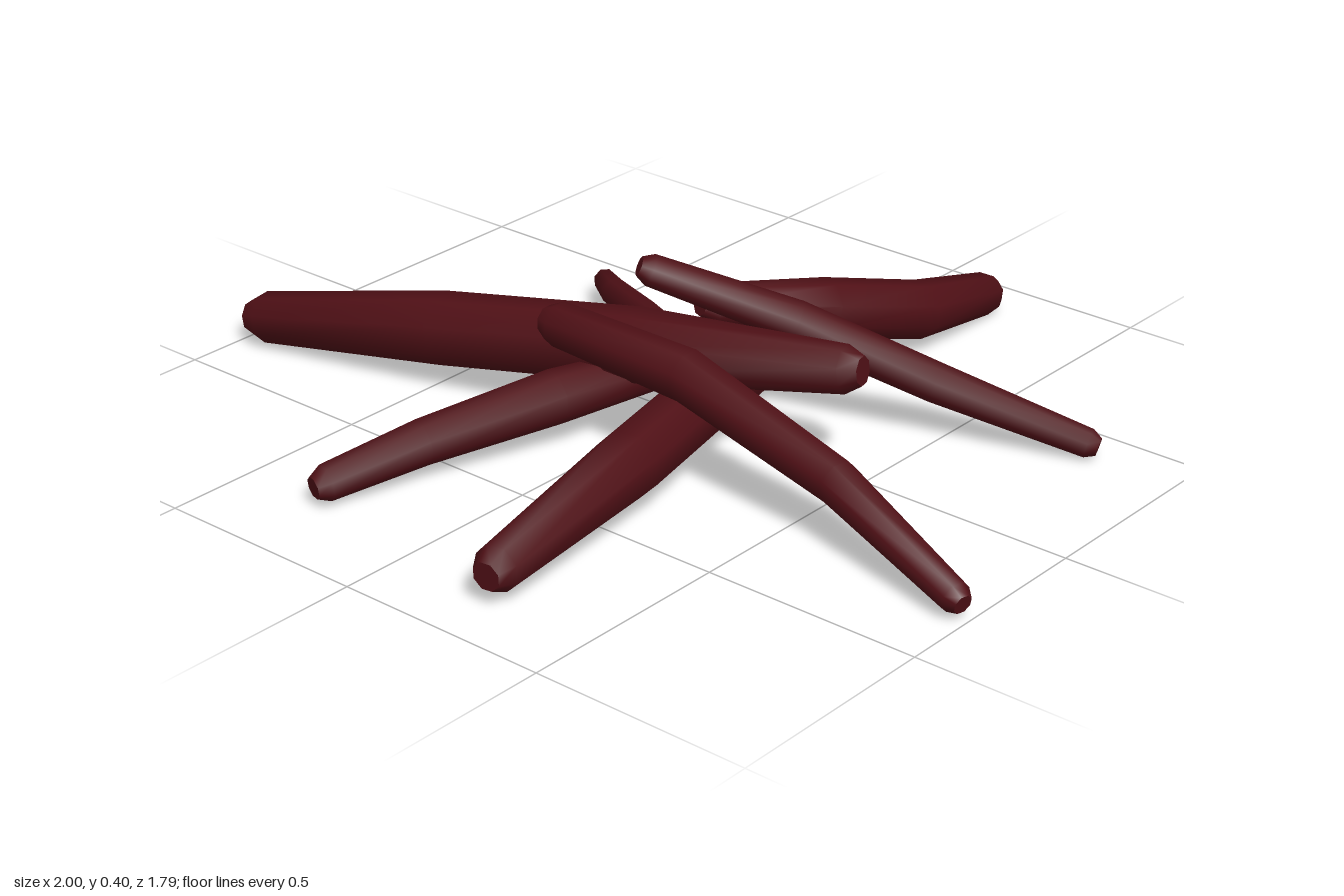
import * as THREE from 'three';
import { toCreasedNormals } from 'three/addons/utils/BufferGeometryUtils.js';

const SIDES = 8;

// Each stick: rows of [x, y, z, radius] from one end to the other
const STICKS = {
  thickLog: [[-0.99, 0.07, 0.335, 0.058], [-0.5, 0.145, 0.215, 0.082], [-0.03, 0.205, 0.1, 0.082], [0.485, 0.265, -0.005, 0.052]],
  frontStick: [[-0.18, 0.265, 0.225, 0.05], [0.2, 0.247, 0.215, 0.058], [0.61, 0.15, 0.24, 0.05], [0.99, 0.053, 0.335, 0.035]],
  topStick: [[-0.01, 0.4, 0.12, 0.035], [0.22, 0.258, -0.12, 0.046], [0.48, 0.14, -0.27, 0.044], [0.81, 0.045, -0.4, 0.032]],
  backStick: [[0.19, 0.055, -0.89, 0.05], [0.195, 0.115, -0.59, 0.067], [0.145, 0.2, -0.31, 0.068], [0.03, 0.275, -0.03, 0.045]],
  lowLog: [[0.265, 0.085, 0.885, 0.052], [0.2, 0.115, 0.4, 0.075], [0.09, 0.115, -0.08, 0.075], [-0.06, 0.085, -0.52, 0.055]],
  frontBranch: [[-0.285, 0.062, 0.815, 0.04], [-0.215, 0.095, 0.57, 0.05], [-0.11, 0.125, 0.28, 0.06], [-0.02, 0.12, -0.08, 0.045]],
  twig: [[-0.535, 0.06, -0.355, 0.027], [-0.39, 0.105, -0.235, 0.034], [-0.18, 0.155, -0.105, 0.034], [0.03, 0.19, 0.01, 0.026]],
};

// Loft a bent, tapering stick with bevelled ends through its rows
function stickGeometry(rows) {
  const pts = rows.map(([x, y, z]) => new THREE.Vector3(x, y, z));
  const radii = rows.map((r) => r[3]);
  const n = pts.length;
  const tangent = (i) => pts[Math.min(i + 1, n - 1)].clone().sub(pts[Math.max(i - 1, 0)]).normalize();
  const rings = pts.map((p, i) => ({ p, t: tangent(i), r: radii[i] }));

  // Pull the full-width end rings inward and add a narrower ring at each tip
  for (const i of [0, n - 1]) {
    const { p, t, r } = rings[i];
    const inward = t.clone().multiplyScalar(i === 0 ? 0.7 * r : -0.7 * r);
    rings[i] = { p: p.clone().add(inward), t, r };
    const tip = { p, t, r: r * 0.62 };
    const centre = { p, t, r: 0 };
    rings[i].tip = [tip, centre];
  }
  const all = [
    ...rings[0].tip.slice().reverse(),
    ...rings,
    ...rings[n - 1].tip,
  ];

  const position = [];
  const index = [];
  const up = new THREE.Vector3(0, 1, 0);
  all.forEach(({ p, t, r }, i) => {
    const u = new THREE.Vector3().crossVectors(up, t).normalize();
    const v = new THREE.Vector3().crossVectors(t, u);
    for (let s = 0; s < SIDES; s++) {
      const a = ((s + 0.5) / SIDES) * Math.PI * 2;
      const q = p.clone().addScaledVector(u, Math.cos(a) * r).addScaledVector(v, Math.sin(a) * r);
      position.push(q.x, q.y, q.z);
      if (i === all.length - 1) continue;
      const s1 = (s + 1) % SIDES;
      const [a0, a1] = [i * SIDES + s, i * SIDES + s1];
      const [b0, b1] = [a0 + SIDES, a1 + SIDES];
      // Fans at the collapsed ends need only one triangle per side
      if (i > 0) index.push(a0, a1, b0);
      if (i < all.length - 2) index.push(a1, b1, b0);
    }
  });

  const geo = new THREE.BufferGeometry();
  geo.setAttribute('position', new THREE.Float32BufferAttribute(position, 3));
  geo.setIndex(index);
  return toCreasedNormals(geo, 0.9);
}

export function createModel() {
  const group = new THREE.Group();
  group.name = 'stickPile';
  const wood = new THREE.MeshStandardMaterial({ color: 0x501016 });
  for (const [name, rows] of Object.entries(STICKS)) {
    const mesh = new THREE.Mesh(stickGeometry(rows), wood);
    mesh.name = name;
    group.add(mesh);
  }
  return group;
}
